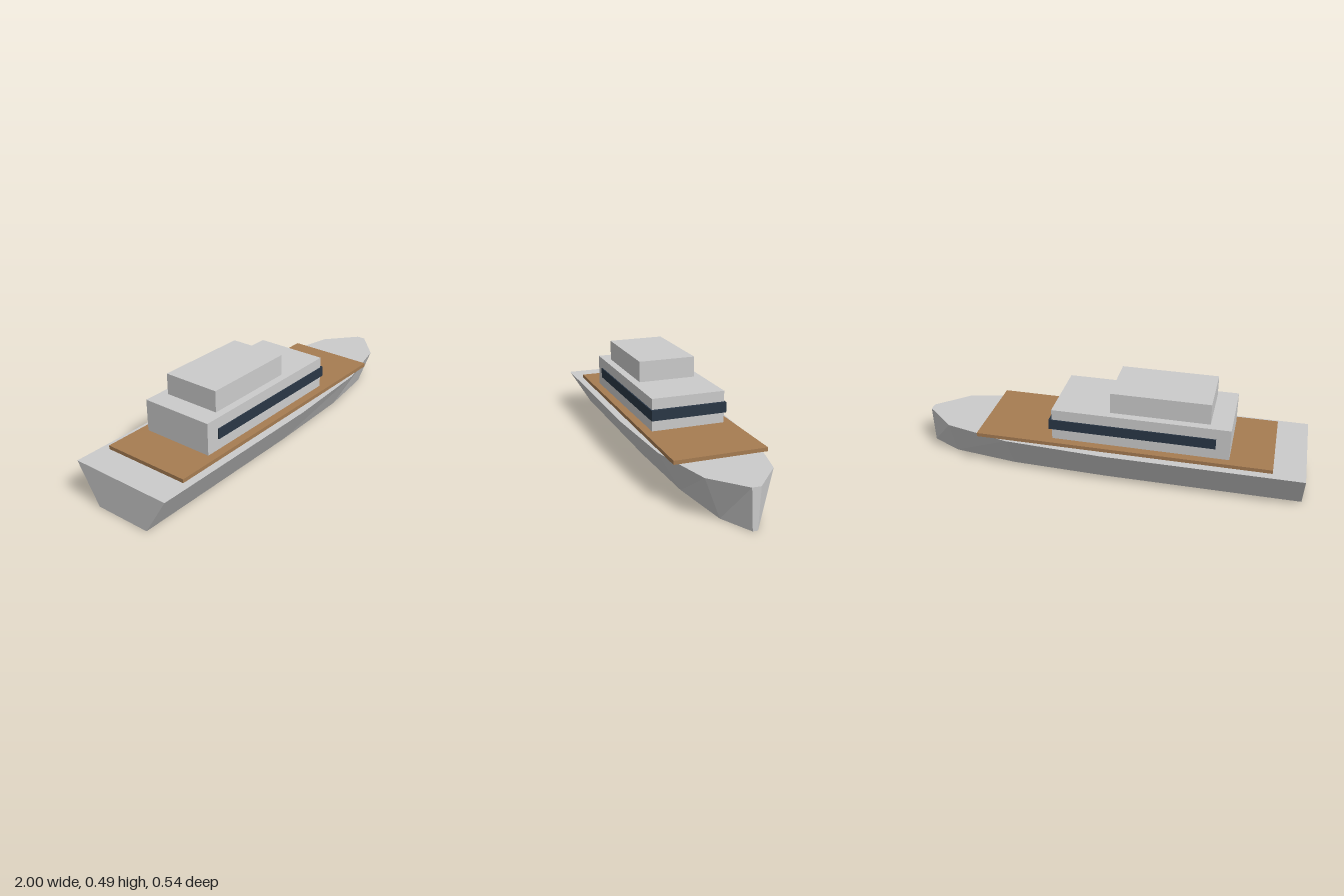
import * as THREE from 'three';

const material = (color) => new THREE.MeshStandardMaterial({ color, flatShading: true });

// Hull: a segmented box whose cross-sections follow [x, half width at deck level]
function hullGeometry(height, keelRatio) {
  const stations = [[-1, 0.272], [0, 0.272], [0.5, 0.245], [0.84, 0.163], [1, 0.022]];
  const spans = stations.length - 1;
  const box = new THREE.BoxGeometry(spans, height, 2, spans, 1, 1);
  box.translate(spans / 2, height / 2, 0);
  const pos = box.attributes.position;
  for (let i = 0; i < pos.count; i++) {
    const [x, halfWidth] = stations[Math.round(pos.getX(i))];
    const flare = pos.getY(i) > height / 2 ? 1 : keelRatio;
    pos.setX(i, x);
    pos.setZ(i, Math.sign(pos.getZ(i)) * halfWidth * flare);
  }
  const geometry = box.toNonIndexed();
  geometry.computeVertexNormals();
  return geometry;
}

export function createModel() {
  const group = new THREE.Group();
  const grey = material(0xcccccc);
  const wood = material(0xa67c52);
  const glass = material(0x2a3746);

  const add = (name, geometry, mat) => {
    const mesh = new THREE.Mesh(geometry, mat);
    mesh.name = name;
    group.add(mesh);
  };
  // Block given by its x range, y range and half depth
  const block = (name, x0, x1, y0, y1, halfDepth, mat) => {
    const geometry = new THREE.BoxGeometry(x1 - x0, y1 - y0, halfDepth * 2);
    geometry.translate((x0 + x1) / 2, (y0 + y1) / 2, 0);
    add(name, geometry, mat);
  };

  add('hull', hullGeometry(0.2, 0.55), grey);
  block('deck', -0.843, 0.657, 0.2, 0.219, 0.232, wood);
  block('cabin', -0.63, 0.265, 0.219, 0.383, 0.19, grey);
  // Window band stands slightly proud of the cabin's sides and front
  block('windowBand', -0.56, 0.28, 0.275, 0.328, 0.196, glass);
  block('upperCabin', -0.525, -0.026, 0.383, 0.491, 0.15, grey);

  return group;
}
